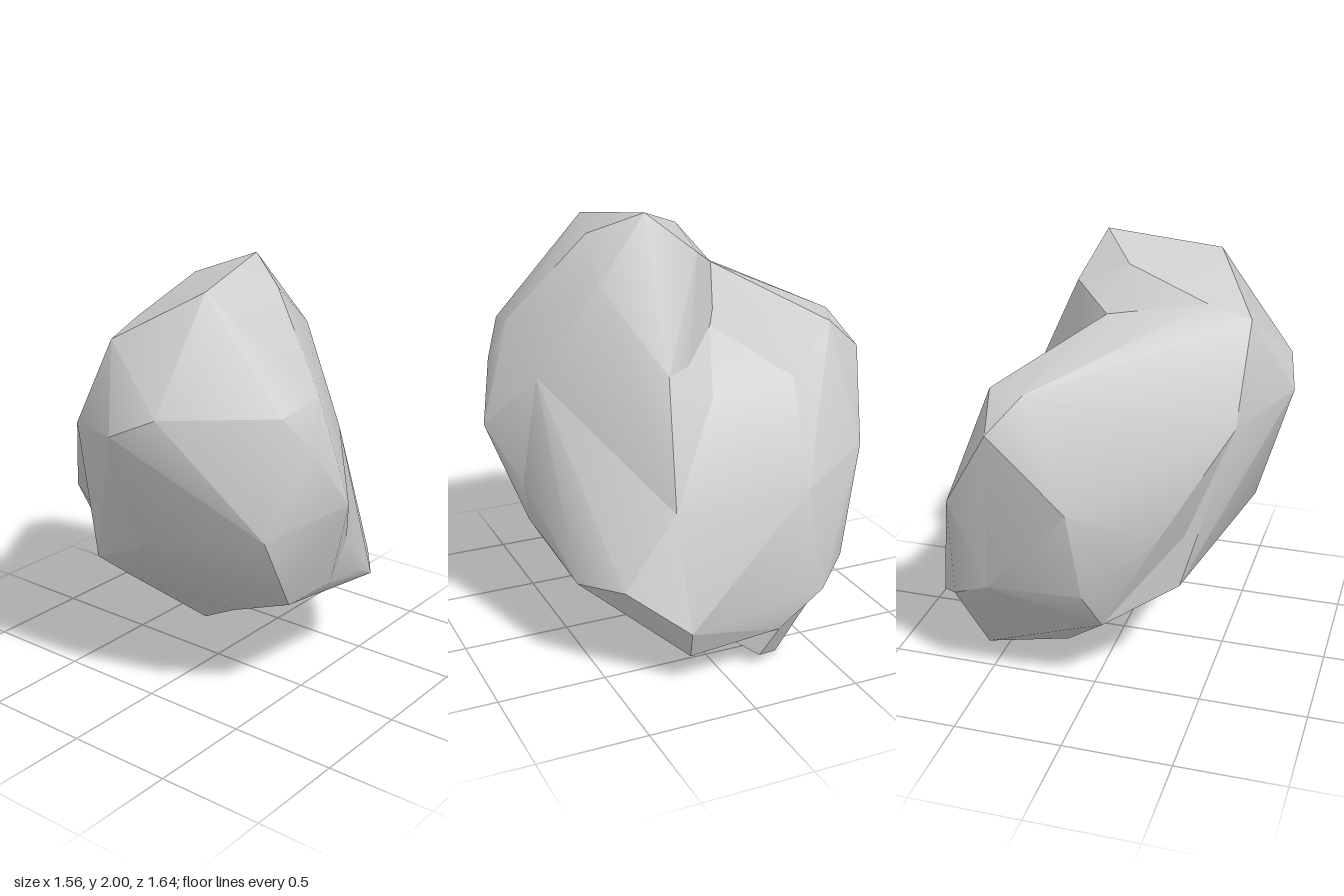
import * as THREE from 'three';
import { ConvexGeometry } from 'three/addons/geometries/ConvexGeometry.js';
import { toCreasedNormals } from 'three/addons/utils/BufferGeometryUtils.js';

// Corners where chunks meet
const notchRoot = [0.17, 1.48, -0.16];
const ridgeEnd = [0.01, 1.725, -0.24];
const ledgeFront = [0.46, 1.24, -0.04];
const ledgeBack = [0.46, 1.28, -0.44];
const lip = [0.44, 1.355, 0.16];
const brow = [0.17, 1.71, 0.37];
const cheek = [0.06, 1.3, 0.63];
const chin = [0.04, 0.8, 0.7];
const flank = [0.61, 0.79, 0.2];
const hip = [0.7, 0.84, -0.4];
const heel = [0.63, 0.45, -0.62];
const heelBack = [0.42, 0.58, -0.74];
const underside = [-0.07, 0.39, -0.61];
const bellyLeft = [-0.14, 0.355, 0.2];
const bellyRight = [0.31, 0.33, 0.3];
const hollow = [-0.3, 0.45, -0.29];
const knuckle = [0.74, 0.2, -0.25];
const backSeam = [[-0.41, 1.77, -0.12], [-0.6, 1.71, -0.1], [-0.59, 1.29, -0.33], [-0.4, 0.8, -0.43]];
const sideSeam = [[0.78, 0.29, 0.2], [0.72, 0.15, 0.18], knuckle];
const bellyRim = [[-0.02, 0.59, 0.66], [-0.24, 0.54, 0.59]];

// Overhanging top
const crown = [
  [0.11, 2, 0.13], [-0.39, 1.92, 0.24], [-0.03, 1.9, 0.35], [-0.05, 1.91, -0.09], [0.185, 1.82, -0.09],
];

// Front and left-hand facets
const face = [
  [-0.73, 1.45, 0.25], [-0.78, 1.35, 0.04], [-0.18, 1.51, 0.68], [-0.41, 1.46, 0.66], [-0.3, 1.3, 0.74],
  [-0.51, 0.94, 0.65], [-0.14, 1.04, 0.82], [-0.62, 0.8, 0.065], [-0.38, 0.54, -0.43],
];

// Lower front edge
const toe = [[0.63, 0.47, 0.45], [0.43, 0.455, 0.595], [0.21, 0.565, 0.65]];

// Broad back below the notch
const shoulder = [
  [0.23, 1.51, -0.73], [0.4, 1.5, -0.65], [0.365, 1.355, -0.82], [0.6, 0.97, -0.715],
  [0.02, 1.03, -0.825], [-0.32, 0.85, -0.61], [-0.02, 0.605, -0.75], [0.75, 0.36, -0.46],
];

// Tip the rock stands on
const foot = [[0.69, 0.055, -0.18], [0.6, 0, -0.31], [0.21, 0.045, -0.25]];

export function createModel() {
  const rock = new THREE.Group();
  rock.name = 'rock';
  const material = new THREE.MeshStandardMaterial({ color: 0xcccccc });

  // Each chunk is a faceted hull with soft shading across shallow edges
  const addChunk = (name, ...corners) => {
    const points = corners.map((p) => new THREE.Vector3(...p));
    const geometry = toCreasedNormals(new ConvexGeometry(points), 0.55);
    const mesh = new THREE.Mesh(geometry, material);
    mesh.name = name;
    rock.add(mesh);
  };

  addChunk('peak', ...crown, ...face, ...backSeam, ...bellyRim, ridgeEnd, notchRoot, lip,
    brow, cheek, chin, flank, bellyLeft, hollow, underside);
  addChunk('toe', ...toe, ...bellyRim, ...sideSeam, cheek, chin, flank, bellyLeft, bellyRight, underside);
  addChunk('shoulder', ...shoulder, ...backSeam, ...sideSeam, ridgeEnd, notchRoot, ledgeBack,
    hip, heel, heelBack, underside);
  addChunk('flank', ...sideSeam, notchRoot, ledgeFront, ledgeBack, flank, hip, underside);
  addChunk('lip', lip, notchRoot, ledgeFront, flank, bellyLeft);
  addChunk('foot', ...foot, knuckle, heel, heelBack, underside, hollow, bellyLeft, bellyRight);
  return rock;
}
